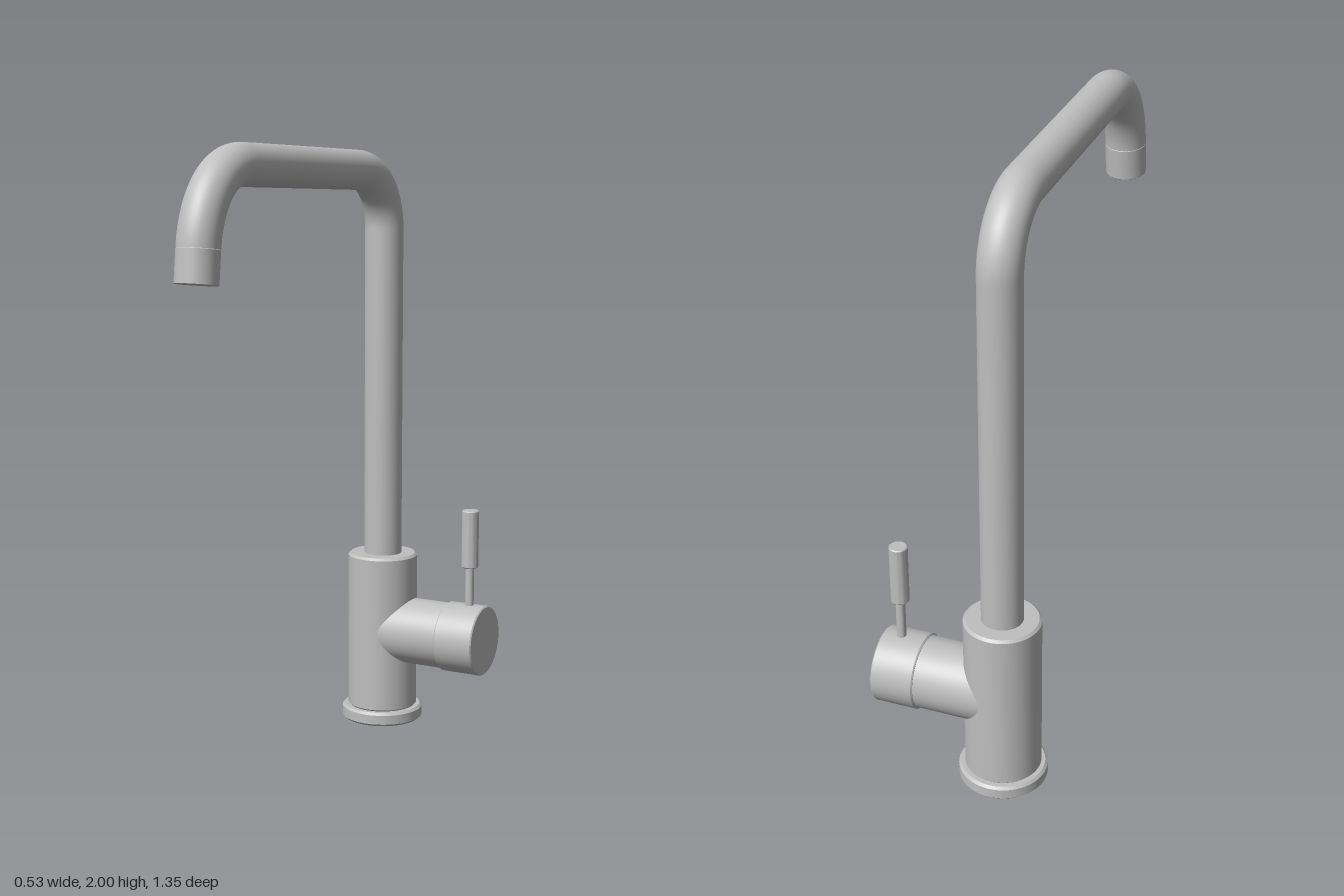
import * as THREE from 'three';
import { toCreasedNormals } from 'three/addons/utils/BufferGeometryUtils.js';

const AXIS_X = -0.13, AXIS_Z = -0.535; // vertical axis of the column
const TUBE_R = 0.065;

export function createModel() {
  const model = new THREE.Group();
  model.name = 'kitchenTap';
  const steel = new THREE.MeshStandardMaterial({ color: 0xbfbfbf });
  steel.name = 'brushed steel';

  const add = (name, geometry, x = 0, y = 0, z = 0) => {
    const mesh = new THREE.Mesh(geometry, steel);
    mesh.name = name;
    mesh.position.set(x, y, z);
    model.add(mesh);
    return mesh;
  };

  // Closed cylinder standing on its origin, with chamfered rims
  const turned = (r, h, bevel = 0.006, sides = 64) => {
    const profile = [
      [0, 0], [r - bevel, 0], [r, bevel], [r, h - bevel], [r - bevel, h], [0, h],
    ].map(([a, b]) => new THREE.Vector2(a, b));
    return toCreasedNormals(new THREE.LatheGeometry(profile, sides), 0.5);
  };

  // Column
  add('baseFlange', turned(0.14, 0.048, 0.008), AXIS_X, 0, AXIS_Z);
  add('body', turned(0.12, 0.55, 0.008), AXIS_X, 0.045, AXIS_Z);

  // Swan neck: riser, bend, slightly rising run, outlet bend
  const p = (z, y) => new THREE.Vector3(AXIS_X, y, z);
  const riserTop = p(AXIS_Z, 1.72), runStart = p(-0.345, 1.915);
  const runEnd = p(0.37, 1.934), outlet = p(0.603, 1.7);
  const path = new THREE.CurvePath();
  path.add(new THREE.LineCurve3(p(AXIS_Z, 0.58), riserTop));
  path.add(new THREE.CubicBezierCurve3(riserTop, p(AXIS_Z, 1.825), p(-0.45, 1.912), runStart));
  path.add(new THREE.LineCurve3(runStart, runEnd));
  path.add(new THREE.CubicBezierCurve3(runEnd, p(0.5, 1.937), p(0.588, 1.829), outlet));
  add('spout', new THREE.TubeGeometry(path, 160, TUBE_R, 40, false));

  // Outlet sleeve, aligned with the end of the spout
  const nozzle = add('nozzle', turned(TUBE_R, 0.103, 0.002, 40), outlet.x, outlet.y, outlet.z);
  nozzle.quaternion.setFromUnitVectors(
    new THREE.Vector3(0, 1, 0), new THREE.Vector3(0, -0.993, 0.117).normalize());

  // Side valve
  const sideways = (name, r, x0, x1, bevel) => {
    add(name, turned(r, x1 - x0, bevel), x0, 0.325, AXIS_Z).rotation.z = -Math.PI / 2;
  };
  sideways('valveArm', 0.114, AXIS_X, 0.127, 0.002);
  sideways('valveCap', 0.12, 0.125, 0.265, 0.004);

  // Lever
  add('leverStem', turned(0.015, 0.16, 0.001, 24), 0.205, 0.425, AXIS_Z);
  add('leverGrip', turned(0.029, 0.198, 0.003, 32), 0.205, 0.577, AXIS_Z);

  return model;
}
